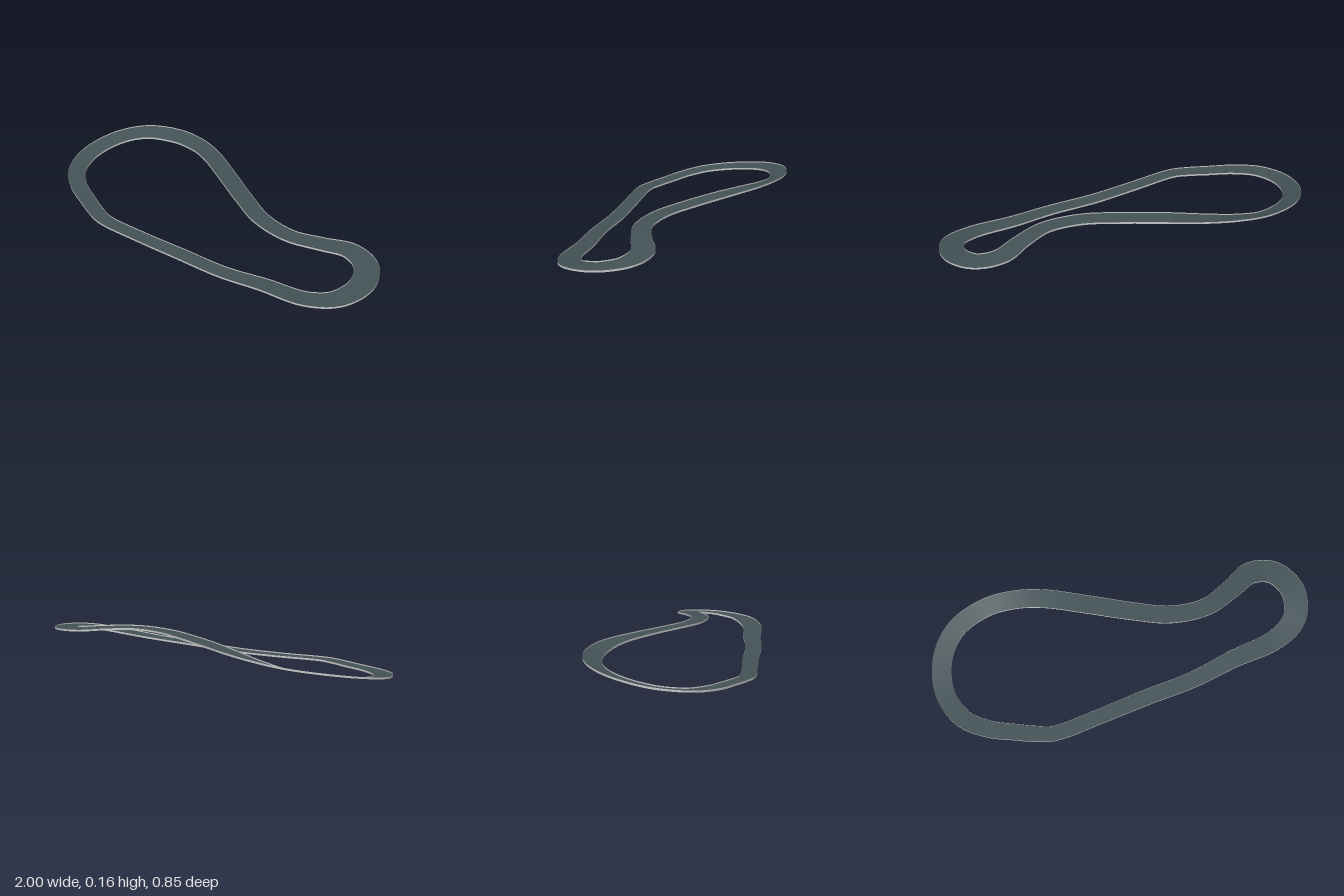
import * as THREE from 'three';

// Centre line of the circuit: x, z, underside height, road width, bank (rise of the outer edge)
const STATIONS = [
  [-0.51, 0.359, 0.003, 0.08, 0], [-0.25, 0.367, 0.0, 0.08, 0], [0.0, 0.368, 0.003, 0.084, 0],
  [0.27, 0.379, 0.016, 0.086, 0], [0.5, 0.364, 0.034, 0.095, 0], [0.75, 0.358, 0.056, 0.108, 0],
  [0.885, 0.295, 0.08, 0.122, 0], [0.936, 0.16, 0.1, 0.128, 0], [0.885, 0.035, 0.115, 0.126, 0],
  [0.77, -0.01, 0.127, 0.12, 0], [0.63, 0.036, 0.137, 0.104, 0], [0.47, 0.077, 0.143, 0.095, 0],
  [0.28, 0.043, 0.144, 0.095, 0], [0.1, -0.055, 0.145, 0.097, 0], [-0.1, -0.182, 0.144, 0.099, 0.001],
  [-0.29, -0.3, 0.138, 0.097, 0.005], [-0.43, -0.359, 0.127, 0.094, 0.01], [-0.59, -0.385, 0.11, 0.092, 0.014],
  [-0.77, -0.343, 0.093, 0.094, 0.012], [-0.89, -0.234, 0.068, 0.098, 0.009], [-0.95, -0.06, 0.037, 0.1, 0.005],
  [-0.915, 0.1, 0.018, 0.096, 0.002], [-0.815, 0.203, 0.009, 0.09, 0], [-0.69, 0.275, 0.005, 0.086, 0],
  [-0.6, 0.323, 0.004, 0.084, 0],
];
const ROAD_THICKNESS = 0.004;
const RIM_HEIGHT = 0.01;
const SEGMENTS = 240;

// Cross-section corners at every step: road underside, road surface and rim top on both edges
function buildRings() {
  const path = new THREE.CatmullRomCurve3(
    STATIONS.map(([x, z, y]) => new THREE.Vector3(x, y, z)), true, 'centripetal');
  const section = new THREE.CatmullRomCurve3(
    STATIONS.map(([, , , width, bank]) => new THREE.Vector3(width / 2, bank, 0)), true, 'catmullrom');
  const rings = [];
  for (let i = 0; i <= SEGMENTS; i++) {
    const t = (i % SEGMENTS) / SEGMENTS;
    const centre = path.getPoint(t);
    const tangent = path.getTangent(t);
    const { x: halfWidth, y: bank } = section.getPoint(t);
    const side = new THREE.Vector3(-tangent.z, 0, tangent.x).setLength(halfWidth);
    side.y = bank;
    const ring = {};
    for (const [edge, sign] of [['outer', 1], ['inner', -1]]) {
      const bottom = centre.clone().addScaledVector(side, sign);
      const raised = (h) => new THREE.Vector3(bottom.x, bottom.y + h, bottom.z);
      ring[edge + 'Bottom'] = bottom;
      ring[edge + 'Road'] = raised(ROAD_THICKNESS);
      ring[edge + 'Rim'] = raised(RIM_HEIGHT);
    }
    rings.push(ring);
  }
  return rings;
}

// Smooth closed strip between two corner lines of the section
function strip(rings, a, b) {
  const positions = [];
  const index = [];
  rings.forEach((ring, i) => {
    positions.push(...ring[a].toArray(), ...ring[b].toArray());
    if (i < SEGMENTS) {
      const k = i * 2;
      index.push(k, k + 2, k + 1, k + 1, k + 2, k + 3);
    }
  });
  const geometry = new THREE.BufferGeometry();
  geometry.setAttribute('position', new THREE.Float32BufferAttribute(positions, 3));
  geometry.setIndex(index);
  geometry.computeVertexNormals();
  return geometry;
}

export function createModel() {
  const asphalt = new THREE.MeshStandardMaterial({ color: 0x445357 });
  asphalt.name = 'asphalt';
  // The rims are thin sheets, seen from both sides
  const edging = new THREE.MeshStandardMaterial({ color: 0xc8c8c8, side: THREE.DoubleSide });
  edging.name = 'edging';

  const model = new THREE.Group();
  model.name = 'raceTrack';
  const rings = buildRings();
  const parts = [
    ['roadSurface', 'outerRoad', 'innerRoad', asphalt],
    ['roadUnderside', 'innerBottom', 'outerBottom', asphalt],
    ['outerRim', 'outerBottom', 'outerRim', edging],
    ['innerRim', 'innerRim', 'innerBottom', edging],
  ];
  for (const [name, a, b, material] of parts) {
    const mesh = new THREE.Mesh(strip(rings, a, b), material);
    mesh.name = name;
    model.add(mesh);
  }
  return model;
}
